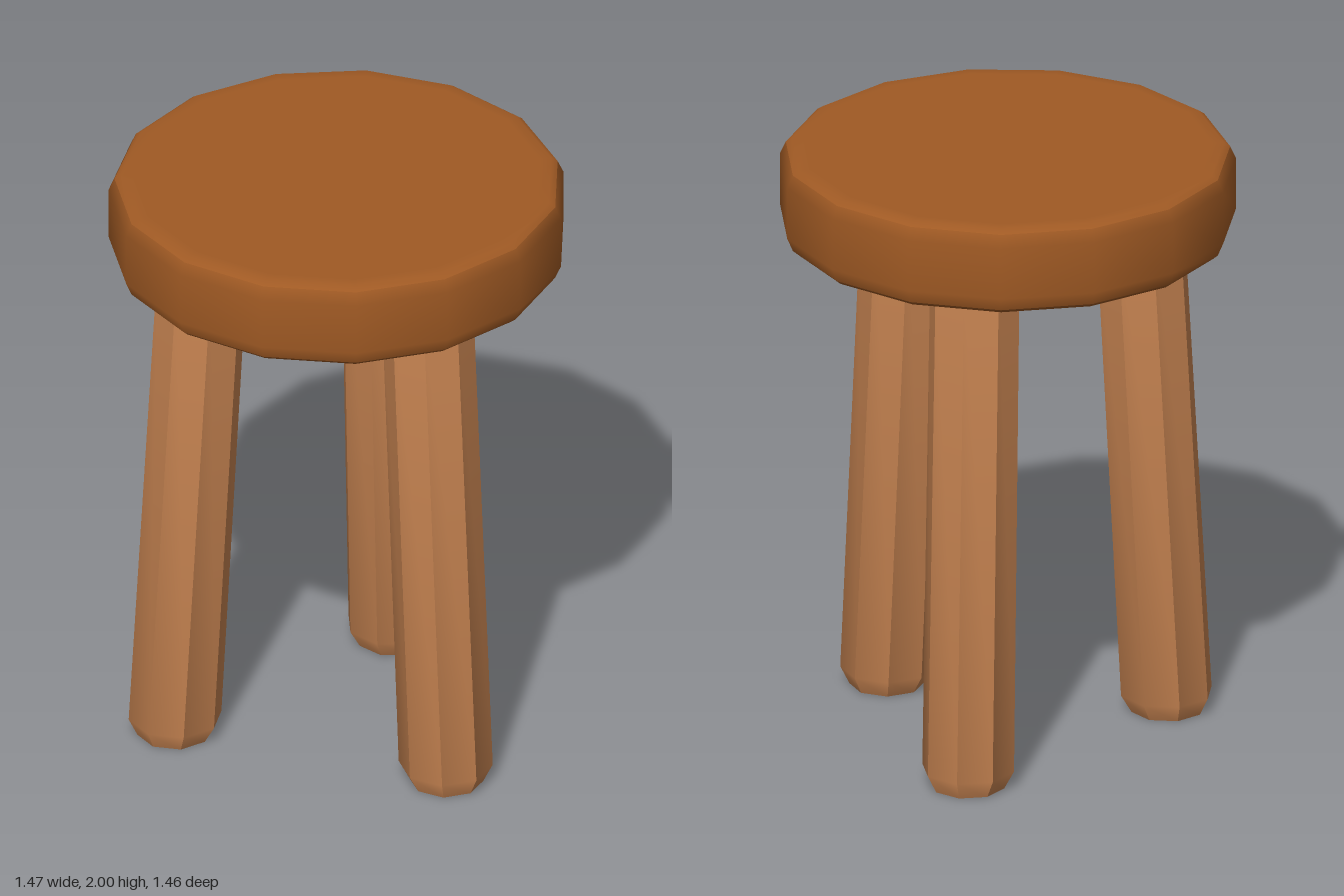
import * as THREE from 'three';
import { toCreasedNormals } from 'three/addons/utils/BufferGeometryUtils.js';

const points = (list) => list.map(([r, y]) => new THREE.Vector2(r, y));

export function createModel() {
  const model = new THREE.Group();
  model.name = 'stool';

  const seatWood = new THREE.MeshStandardMaterial({ color: 0xa05a24 });
  seatWood.name = 'dark wood';
  const legWood = new THREE.MeshStandardMaterial({ color: 0xc98552 });
  legWood.name = 'light wood';

  // Seat: fifteen-sided disc, smooth rim with a sharp line to each cap
  const seat = new THREE.Group();
  seat.name = 'seat';
  const seatProfiles = {
    seatUnderside: [[0, 1.71], [0.67, 1.71], [0.705, 1.712], [0.72, 1.725]],
    seatRim: [[0.72, 1.725], [0.739, 1.77], [0.739, 1.945], [0.72, 1.986]],
    seatTop: [[0.72, 1.986], [0.7, 2], [0.66, 2], [0, 2]],
  };
  for (const [name, profile] of Object.entries(seatProfiles)) {
    const part = new THREE.Mesh(new THREE.LatheGeometry(points(profile), 15, Math.PI), seatWood);
    part.name = name;
    seat.add(part);
  }
  model.add(seat);

  // Leg: octagonal post with a chamfered foot, leaning inward as it rises
  const post = new THREE.LatheGeometry(
    points([[0, 0], [0.12, 0], [0.152, 0.06], [0.148, 1.75], [0, 1.75]]), 8);
  const pos = post.attributes.position;
  for (let i = 0; i < pos.count; i++) {
    pos.setZ(i, pos.getZ(i) + 0.537 - 0.054 * pos.getY(i));
  }
  const legGeometry = toCreasedNormals(post, THREE.MathUtils.degToRad(32));

  // Three legs evenly spaced, one at the front
  ['frontLeg', 'backLeftLeg', 'backRightLeg'].forEach((name, i) => {
    const leg = new THREE.Mesh(legGeometry, legWood);
    leg.name = name;
    leg.rotation.y = (i * Math.PI * 2) / 3;
    model.add(leg);
  });

  return model;
}
